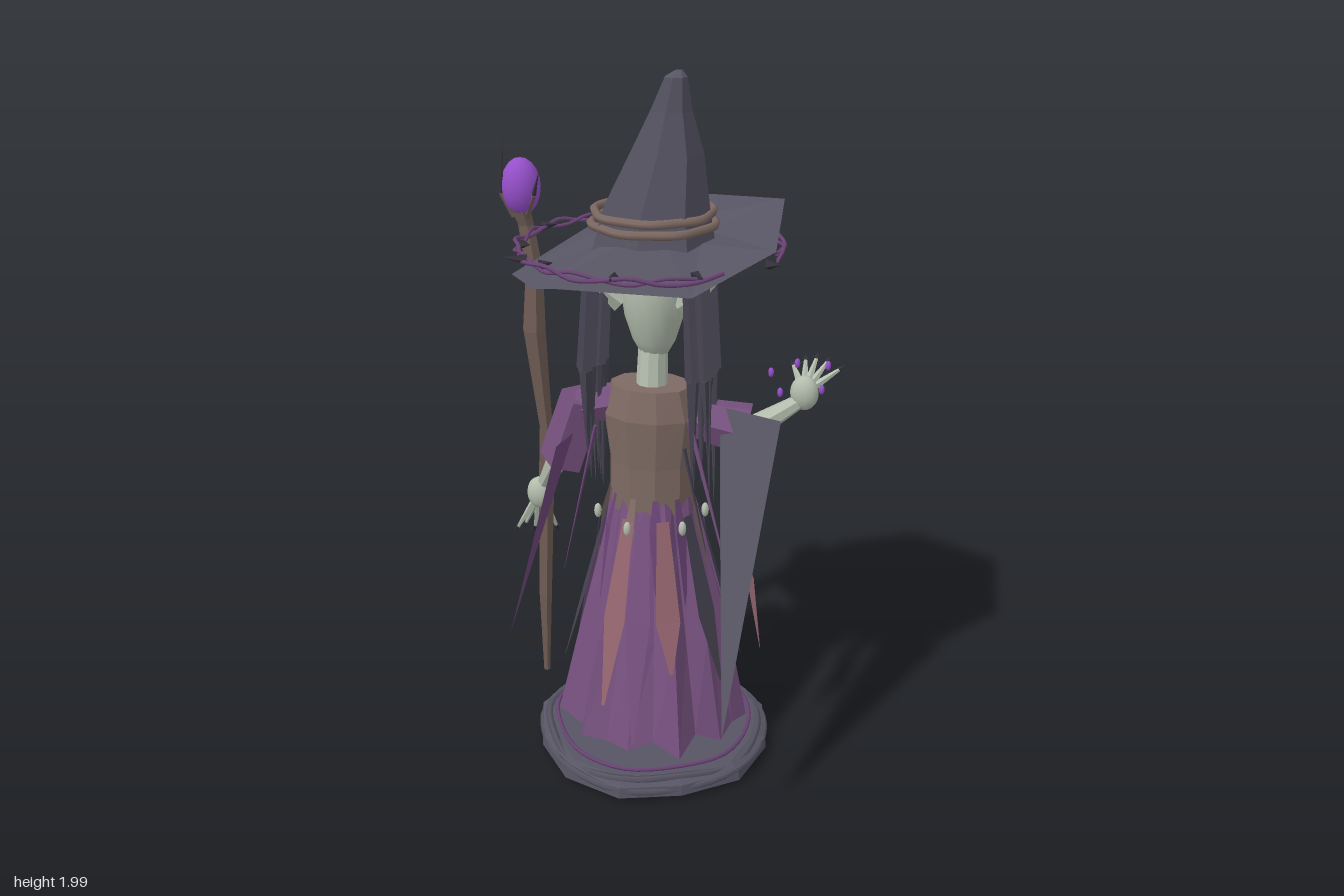
import * as THREE from 'three';

const mat = (name, color) => new THREE.MeshStandardMaterial({ name, color, side: THREE.DoubleSide });
const V = (x, y, z) => new THREE.Vector3(x, y, z);

export function createModel() {
  const root = new THREE.Group();
  root.name = 'witch';
  const M = {
    cloth: mat('dark cloth', 0x575463), hair: mat('hair', 0x474452), purple: mat('purple cloth', 0x77517f),
    vine: mat('vine purple', 0x6b4476), gem: mat('gem purple', 0x9650cb), brown: mat('brown leather', 0x7e6a63),
    wood: mat('wood', 0x705d55), skin: mat('pale skin', 0xb4beae), black: mat('claw black', 0x34303b),
    pink: mat('dusty pink', 0x94656f),
  };
  let seed = 7;
  const rnd = () => (seed = (seed * 16807) % 2147483647) / 2147483647;

  const add = (name, geo, m, parent = root) => {
    const mesh = new THREE.Mesh(geo, m);
    mesh.name = name;
    parent.add(mesh);
    return mesh;
  };
  const group = (name) => {
    const g = new THREE.Group();
    g.name = name;
    root.add(g);
    return g;
  };
  // Faceted skin over equal-length rings of points, listed bottom to top
  const loft = (rings, capBottom, capTop) => {
    const p = [], n = rings[0].length;
    const tri = (a, b, c) => p.push(...a.toArray(), ...b.toArray(), ...c.toArray());
    for (let r = 0; r + 1 < rings.length; r++) for (let i = 0; i < n; i++) {
      const j = (i + 1) % n, A = rings[r], B = rings[r + 1];
      tri(A[i], B[i], A[j]);
      tri(A[j], B[i], B[j]);
    }
    const cap = (R, up) => {
      const c = R.reduce((s, v) => s.add(v), V(0, 0, 0)).divideScalar(n);
      R.forEach((v, i) => (up ? tri(c, R[(i + 1) % n], v) : tri(c, v, R[(i + 1) % n])));
    };
    if (capBottom) cap(rings[0], false);
    if (capTop) cap(rings[rings.length - 1], true);
    const g = new THREE.BufferGeometry();
    g.setAttribute('position', new THREE.Float32BufferAttribute(p, 3));
    g.computeVertexNormals();
    return g;
  };
  // Ellipse ring; f(i) scales the radius, dy(i) shifts the height
  const ring = (n, cx, y, cz, rx, rz, f = () => 1, dy = () => 0) => Array.from({ length: n }, (_, i) => {
    const a = (i / n) * Math.PI * 2;
    return V(cx + Math.cos(a) * rx * f(i), y + dy(i), cz + Math.sin(a) * rz * f(i));
  });
  // Tapered rod from a to b
  const rod = (name, a, b, r0, r1, m, parent, sides = 5, flat = 1) => {
    const d = b.clone().sub(a);
    const g = new THREE.CylinderGeometry(r1, r0, d.length(), sides).toNonIndexed();
    g.computeVertexNormals();
    g.scale(1, 1, flat);
    const mesh = add(name, g, m, parent);
    mesh.position.copy(a).lerp(b, 0.5);
    mesh.quaternion.setFromUnitVectors(V(0, 1, 0), d.normalize());
  };
  const ball = (name, x, y, z, rx, ry, rz, m, parent) => {
    const mesh = add(name, new THREE.SphereGeometry(1, 14, 10), m, parent);
    mesh.position.set(x, y, z);
    mesh.scale.set(rx, ry, rz);
  };
  const tube = (name, pts, r, m, parent, closed = false, seg = 40) =>
    add(name, new THREE.TubeGeometry(new THREE.CatmullRomCurve3(pts, closed), seg, r, 5, closed), m, parent);
  // Thin cloth strip, widest at w, through three points
  const strip = (name, a, b, c, w, m, parent) => {
    const side = V(-(a.z + c.z) / 2 - 0.02, 0, (a.x + c.x) / 2 + 0.02).normalize().multiplyScalar(w / 2);
    const cut = (p, k) => [p.clone().addScaledVector(side, k), p.clone().addScaledVector(side, -k)];
    add(name, loft([cut(c, 0.12), cut(b, 1), cut(a, 0.5)]), m, parent);
  };

  // Base: faceted slab, coiled rim and a purple hoop above it
  const wob = (i) => 1 + 0.03 * Math.sin(i * 2.3);
  add('base', loft([[0.01, 0.33], [0.025, 0.35], [0.055, 0.345], [0.07, 0.315]].map(([y, r]) =>
    ring(12, -0.02, y, -0.015, r, r, wob)), true, true), M.cloth);
  for (const k of [0, 1]) tube('baseRim', ring(12, -0.02, 0.045 + k * 0.018, -0.015, 0.335 - k * 0.02, 0.335 - k * 0.02,
    wob, (i) => 0.008 * Math.sin(i * 2 + k * 3)), 0.011, M.cloth, root, true, 48);
  tube('baseHoop', ring(12, -0.02, 0.084, -0.015, 0.29, 0.29, wob), 0.006, M.vine, root, true, 48);

  // Pleated skirt with uneven folds
  const pleat = (k) => (i) => 1 + k * (i % 2 ? -1 : 1) + 0.05 * Math.sin(i * 1.9);
  add('skirt', loft([
    ring(24, -0.022, 0.125, -0.025, 0.27, 0.262, pleat(0.06), (i) => 0.018 * Math.sin(i * 2.7)),
    ring(24, -0.02, 0.42, -0.03, 0.205, 0.2, pleat(0.08)),
    ring(24, -0.025, 0.67, -0.035, 0.145, 0.13, pleat(0.06)),
    ring(24, -0.03, 0.82, -0.035, 0.115, 0.09, pleat(0.02)),
  ], true), M.purple);

  // Ragged strips hanging over the skirt
  const strips = group('skirtStrips');
  const hang = [[0.45, 'hair', 0.3], [1.08, 'pink', 0.36], [1.5, 'purple', 0.15], [1.85, 'pink', 0.25], [2.75, 'hair', 0.3],
    [3.4, 'purple', 0.2], [4.0, 'vine', 0.32], [4.45, 'purple', 0.2], [4.95, 'vine', 0.25], [5.5, 'purple', 0.2], [6.1, 'hair', 0.3]];
  for (const [a, m, low] of hang) {
    const at = (r, y) => V(-0.025 + Math.cos(a) * r, y, -0.03 + Math.sin(a) * r);
    strip('skirtStrip', at(0.13, 0.78), at(0.205, 0.5), at(0.315 - low * 0.18, low), 0.07, M[m], strips);
  }
  // Free-hanging pink panel beside the skirt
  add('sidePanel', loft([
    [V(0.295, 0.34, -0.055), V(0.295, 0.34, -0.05)],
    [V(0.235, 0.58, -0.09), V(0.275, 0.58, -0.03)],
    [V(0.19, 0.76, -0.06), V(0.215, 0.76, -0.03)],
  ]), M.pink, strips);
  // Belt tatters and pale beads
  for (let i = 0; i < 12; i++) {
    const a = i * 0.524 + 0.2, c = Math.cos(a), s = Math.sin(a);
    strip('beltTatter', V(-0.03 + c * 0.125, 0.83, -0.035 + s * 0.1), V(-0.03 + c * 0.15, 0.74, -0.035 + s * 0.13),
      V(-0.03 + c * 0.18, 0.6 - 0.12 * rnd(), -0.035 + s * 0.165), 0.035, i % 3 ? M.vine : M.brown, strips);
    if (i % 2) ball('beltBead', -0.03 + c * 0.155, 0.755, -0.035 + s * 0.14, 0.011, 0.022, 0.011, M.skin, strips);
  }

  // Bodice with lacing and brooch on its -z side
  add('bodice', loft([[0.78, 0.122, 0.1], [0.92, 0.122, 0.098], [1.06, 0.14, 0.105], [1.145, 0.115, 0.085]].map(([y, rx, rz]) =>
    ring(10, -0.03, y, -0.035, rx, rz)), true, true), M.brown);
  const lacing = group('lacing');
  for (let i = 0; i < 4; i++) for (const s of [-1, 1])
    rod('lace', V(-0.025 - s * 0.035, 0.8 + i * 0.037, -0.14), V(-0.025 + s * 0.035, 0.825 + i * 0.037, -0.14), 0.005, 0.005, M.wood, lacing, 4);
  ball('brooch', -0.02, 0.985, -0.147, 0.038, 0.056, 0.014, M.gem);
  ball('broochCentre', -0.02, 0.985, -0.16, 0.014, 0.024, 0.006, M.vine);

  // Neck and egg-shaped head
  rod('neck', V(-0.028, 1.12, -0.035), V(-0.028, 1.27, -0.05), 0.045, 0.04, M.skin, root, 10);
  const head = group('head');
  const egg = [[0, 1.215], [0.035, 1.225], [0.06, 1.27], [0.082, 1.34], [0.092, 1.41], [0.085, 1.48], [0.055, 1.53], [0, 1.55]];
  const skull = add('skull', new THREE.LatheGeometry(egg.map(([r, y]) => new THREE.Vector2(r, y)), 16), M.skin, head);
  skull.position.set(-0.025, 0, -0.05);
  rod('chin', V(-0.025, 1.255, -0.09), V(-0.025, 1.225, -0.145), 0.032, 0.01, M.skin, head, 7);
  rod('nose', V(-0.025, 1.45, -0.125), V(-0.025, 1.31, -0.215), 0.018, 0.028, M.skin, head, 7);
  rod('noseTip', V(-0.025, 1.31, -0.215), V(-0.025, 1.278, -0.235), 0.028, 0.01, M.skin, head, 7);
  ball('lips', -0.025, 1.285, -0.118, 0.038, 0.016, 0.014, M.vine, head);
  for (const s of [-1, 1]) {
    rod('ear', V(-0.025 + s * 0.08, 1.38, -0.02), V(-0.025 + s * 0.19, 1.46, 0.015), 0.042, 0.002, M.skin, head, 5, 0.5);
    ball('eye', -0.025 + s * 0.043, 1.4, -0.128, 0.024, 0.014, 0.01, M.black, head);
    ball('iris', -0.025 + s * 0.043, 1.4, -0.137, 0.009, 0.009, 0.004, M.gem, head);
    rod('brow', V(-0.025 + s * 0.015, 1.42, -0.142), V(-0.025 + s * 0.085, 1.455, -0.115), 0.01, 0.004, M.hair, head);
  }

  // Hair: two curtains of tapering locks and a short fringe
  const hair = group('hair');
  for (const s of [-1, 1]) for (let i = 0; i < 11; i++) {
    const z = 0.065 - i * 0.0125, x = -0.025 + s * (0.1 + 0.055 * rnd()), w = 0.011 + 0.009 * rnd();
    const top = V(x, 1.52, z), mid = V(x + s * 0.018, 1.2, z + 0.01), low = V(x + s * (0.01 + 0.02 * rnd()), 0.76 + 0.3 * rnd(), z);
    rod('lockTop', mid, top, w * 1.3, w, M.hair, hair, 5, 0.6);
    rod('lockEnd', mid, low, w * 1.3, 0.001, M.hair, hair, 5, 0.6);
  }
  for (let i = 0; i < 7; i++) {
    const x = -0.11 + i * 0.028;
    rod('fringe', V(x, 1.54, -0.13), V(x + 0.01, 1.47 - 0.03 * (i % 3 === 0), -0.15), 0.011, 0.001, i % 2 ? M.vine : M.hair, hair, 4);
  }

  // Hat: crown, drooping brim, twisted band
  const hat = group('hat');
  const dent = (i) => 1 + 0.08 * Math.sin(i * 2.6);
  add('crown', loft([[-0.02, 1.54, -0.025, 0.17], [-0.015, 1.64, -0.025, 0.148], [0.02, 1.79, -0.005, 0.1],
    [0.038, 1.9, 0.018, 0.056], [0.055, 1.985, 0.035, 0.03], [0.062, 2, 0.032, 0.01]].map(([x, y, z, r]) =>
    ring(8, x, y, z, r, r, dent)), false, true), M.cloth, hat);
  const edge = [[0.335, 1.58, 0.11], [0.175, 1.51, 0.325], [-0.165, 1.51, 0.34], [-0.255, 1.48, 0.26], [-0.42, 1.43, -0.01],
    [-0.25, 1.53, -0.315], [-0.02, 1.59, -0.42], [0.285, 1.63, -0.25]].map((p) => V(...p));
  const inner = edge.map((v) => {
    const a = Math.atan2(v.z + 0.025, v.x + 0.02);
    return V(-0.02 + Math.cos(a) * 0.15, 1.565, -0.025 + Math.sin(a) * 0.15);
  });
  add('brim', loft([edge, inner]), M.cloth, hat);
  for (const k of [0, 1]) tube('hatBand', ring(14, -0.02, 1.602 + k * 0.028, -0.025, 0.162 - k * 0.006, 0.162 - k * 0.006,
    (i) => 1 + 0.025 * (i % 2 ? 1 : -1) * (k ? 1 : -1)), 0.012, M.brown, hat, true, 56);

  // Thorny vine looped around the brim
  const vine = group('vine');
  const loop = (r, k) => Array.from({ length: 26 }, (_, i) => {
    const a = 0.75 + i * 0.225;
    return V(-0.03 + Math.cos(a) * (r + 0.012 * Math.sin(i * 2 + k)), 1.538 + 0.01 * Math.cos(i * 2 + k), -0.02 + Math.sin(a) * r);
  });
  tube('vineStem', loop(0.352, 0), 0.006, M.vine, vine, false, 80);
  tube('vineStem', loop(0.347, 3), 0.005, M.vine, vine, false, 80);
  for (const [x, z, tx, tz] of [[-0.37, -0.12, -0.33, -0.14], [-0.36, 0.07, -0.325, 0.09], [-0.29, 0.205, -0.35, 0.225],
    [-0.24, 0.25, -0.21, 0.235], [-0.025, 0.305, -0.025, 0.345], [0.16, 0.235, 0.19, 0.275], [0.16, -0.32, 0.2, -0.3], [0.31, 0.09, 0.345, 0.1]])
    rod('thorn', V(x, 1.54, z), V(tx, 1.545, tz), 0.015, 0.001, M.black, vine, 4);

  // Sleeves with long trailing points
  rod('rightShoulder', V(-0.11, 1.09, -0.03), V(-0.23, 1.06, -0.03), 0.05, 0.055, M.purple, root, 6);
  rod('rightSleeve', V(-0.225, 1.085, -0.03), V(-0.295, 0.88, -0.035), 0.066, 0.07, M.purple, root, 5);
  rod('leftSleeve', V(0.08, 1.06, -0.03), V(0.24, 1.03, -0.05), 0.055, 0.075, M.purple, root, 6);
  const drape = (name, pts, m) => add(name, loft([pts.slice(0, 3).map(() => V(...pts[3])), pts.slice(0, 3).map((p) => V(...p))]), m);
  drape('leftDrape', [[0.17, 1.1, -0.02], [0.35, 1.1, 0.04], [0.21, 0.82, 0.13], [0.29, 0.33, 0.41]], M.cloth);
  drape('rightDrape', [[-0.235, 1.0, 0.04], [-0.265, 0.98, 0.1], [-0.3, 0.87, 0.03], [-0.35, 0.48, 0.28]], M.vine);
  rod('sleeveRibbon', V(0.1, 1.08, 0.05), V(0.25, 0.62, 0.14), 0.024, 0.004, M.purple, root, 4, 0.3);
  rod('sleeveRibbon', V(0.09, 1.0, 0.06), V(0.17, 0.72, 0.12), 0.018, 0.003, M.hair, root, 4, 0.3);
  rod('sleeveRibbon', V(-0.17, 1.03, 0.04), V(-0.24, 0.62, 0.13), 0.018, 0.002, M.vine, root, 4, 0.3);

  // Arms, hands, fingers and claws
  const hand = (name, elbow, wrist, palm, tips) => {
    const g = group(name);
    rod('forearm', elbow, wrist, 0.042, 0.022, M.skin, g, 7);
    ball('palm', palm.x, palm.y, palm.z, 0.04, 0.05, 0.03, M.skin, g);
    for (const t of tips) {
      const base = palm.clone().lerp(t, 0.25), end = base.clone().lerp(t, 0.8);
      rod('finger', base, end, 0.012, 0.005, M.skin, g);
      rod('claw', end, t, 0.009, 0.001, M.black, g);
    }
  };
  hand('leftHand', V(0.21, 1.0, -0.05), V(0.36, 1.09, -0.13), V(0.38, 1.12, -0.135),
    [0.33, 0.37, 0.405, 0.44, 0.48].map((x, i) => V(x, 1.19 + 0.03 * Math.sin(i * 0.8), -0.195)));
  hand('rightHand', V(-0.28, 0.94, -0.03), V(-0.37, 0.78, -0.08), V(-0.39, 0.74, -0.09),
    [-0.485, -0.46, -0.43, -0.395, -0.36].map((x, i) => V(x, 0.585 + 0.015 * (i % 2), -0.11 - 0.012 * i)));
  const motes = group('floatingBeads');
  for (const [x, y, z] of [[0.29, 1.18, -0.11], [0.315, 1.12, -0.12], [0.36, 1.21, -0.12], [0.43, 1.14, -0.12], [0.44, 1.2, -0.15]])
    ball('bead', x, y, z, 0.008, 0.014, 0.008, M.gem, motes);

  // Gnarled staff with a clawed orb
  const staff = group('staff');
  add('shaft', loft([[-0.388, 0.13, 0.01], [-0.382, 0.4, 0.02], [-0.372, 0.75, 0.024], [-0.365, 0.95, 0.02],
    [-0.388, 1.25, 0.034], [-0.385, 1.42, 0.026], [-0.405, 1.55, 0.024], [-0.418, 1.6, 0.03]].map(([x, y, r], i) =>
    ring(6, x, y, -0.09 + 0.006 * Math.sin(i * 2), r, r)), true, true), M.wood, staff);
  ball('orb', -0.415, 1.655, -0.09, 0.055, 0.08, 0.053, M.gem, staff);
  [0.5, 2.6, 3.6, 5].forEach((a, i) => {
    const at = (r, y) => V(-0.415 + Math.cos(a) * r, y, -0.09 + Math.sin(a) * r);
    rod('orbClaw', at(0.02, 1.575), at(0.054, 1.64), 0.01, 0.007, M.wood, staff);
    rod('orbClawTip', at(0.054, 1.64), i === 1 ? at(0.045, 1.79) : at(0.075, 1.7), 0.007, 0.001, M.black, staff);
  });
  return root;
}
